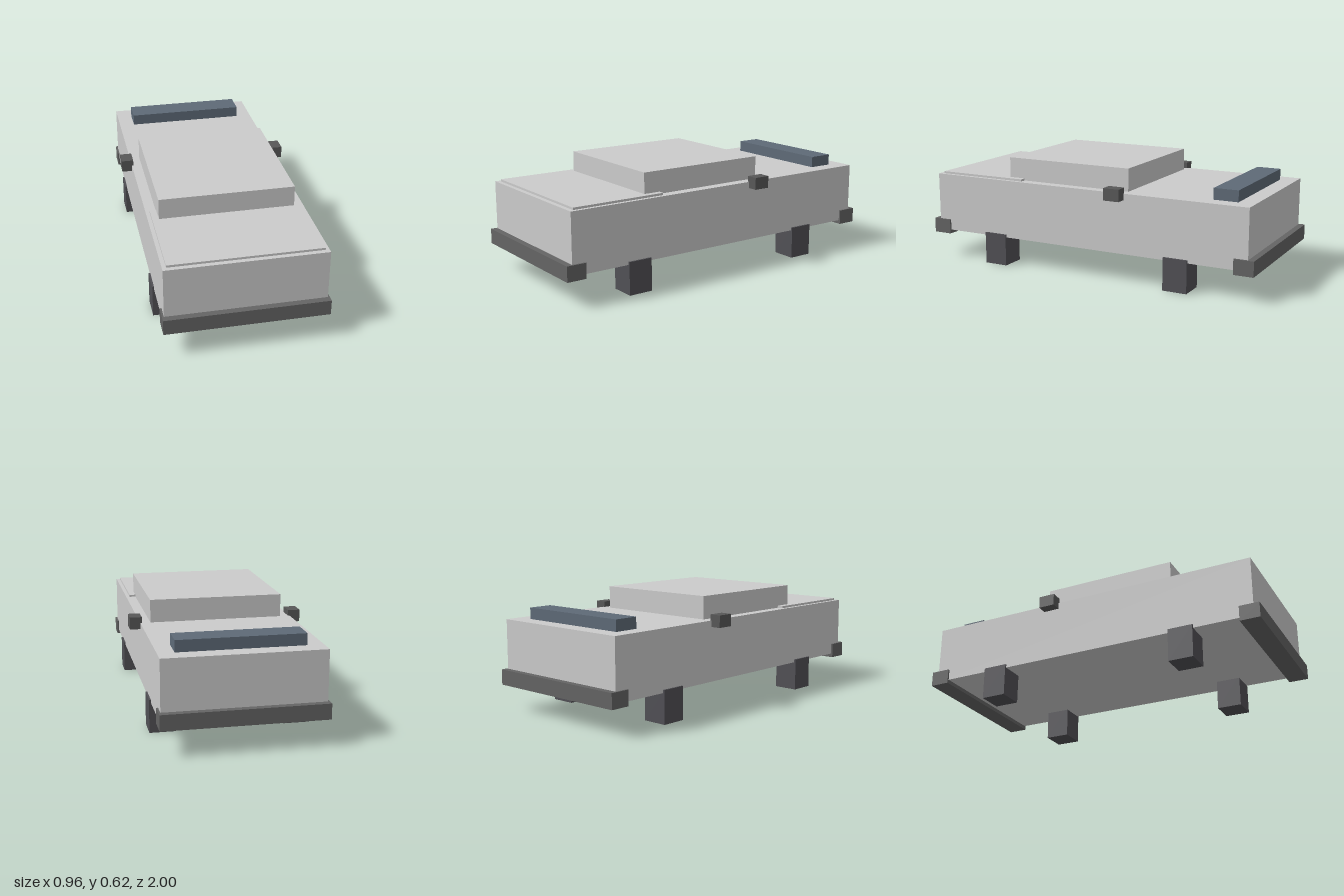
import * as THREE from 'three';

const paint = new THREE.MeshStandardMaterial({ color: 0xcccccc });
const trim = new THREE.MeshStandardMaterial({ color: 0x646464 });
const rubber = new THREE.MeshStandardMaterial({ color: 0x515055 });
const mirrorTrim = new THREE.MeshStandardMaterial({ color: 0x585858 });
const wing = new THREE.MeshStandardMaterial({ color: 0x5e6a77 });

// Box from its lower and upper bounds on each axis
function block(name, [x0, x1], [y0, y1], [z0, z1], material) {
  const mesh = new THREE.Mesh(new THREE.BoxGeometry(x1 - x0, y1 - y0, z1 - z0), material);
  mesh.position.set((x0 + x1) / 2, (y0 + y1) / 2, (z0 + z1) / 2);
  mesh.name = name;
  return mesh;
}

export function createModel() {
  const car = new THREE.Group();
  car.name = 'car';

  // Body, cabin, bonnet panel and rear spoiler
  car.add(
    block('body', [-0.423, 0.423], [0.165, 0.498], [-0.965, 0.965], paint),
    block('cabin', [-0.367, 0.367], [0.498, 0.624], [-0.26, 0.495], paint),
    block('bonnet', [-0.402, 0.402], [0.487, 0.51], [0.4, 0.94], paint),
    block('spoiler', [-0.335, 0.335], [0.498, 0.56], [-0.873, -0.735], wing)
  );

  // Bumpers wrap both ends
  car.add(
    block('frontBumper', [-0.433, 0.433], [0.143, 0.227], [0.89, 1], trim),
    block('rearBumper', [-0.433, 0.433], [0.143, 0.227], [-1, -0.89], trim)
  );

  // Wheels and side mirrors, one of each per side
  for (const [side, s] of [['left', 1], ['right', -1]]) {
    const span = (a, b) => (s > 0 ? [a, b] : [-b, -a]);
    car.add(
      block(side + 'FrontWheel', span(0.292, 0.433), [0, 0.182], [0.497, 0.635], rubber),
      block(side + 'RearWheel', span(0.292, 0.433), [0, 0.182], [-0.635, -0.497], rubber),
      block(side + 'Mirror', span(0.414, 0.48), [0.463, 0.53], [-0.26, -0.168], mirrorTrim)
    );
  }
  return car;
}
